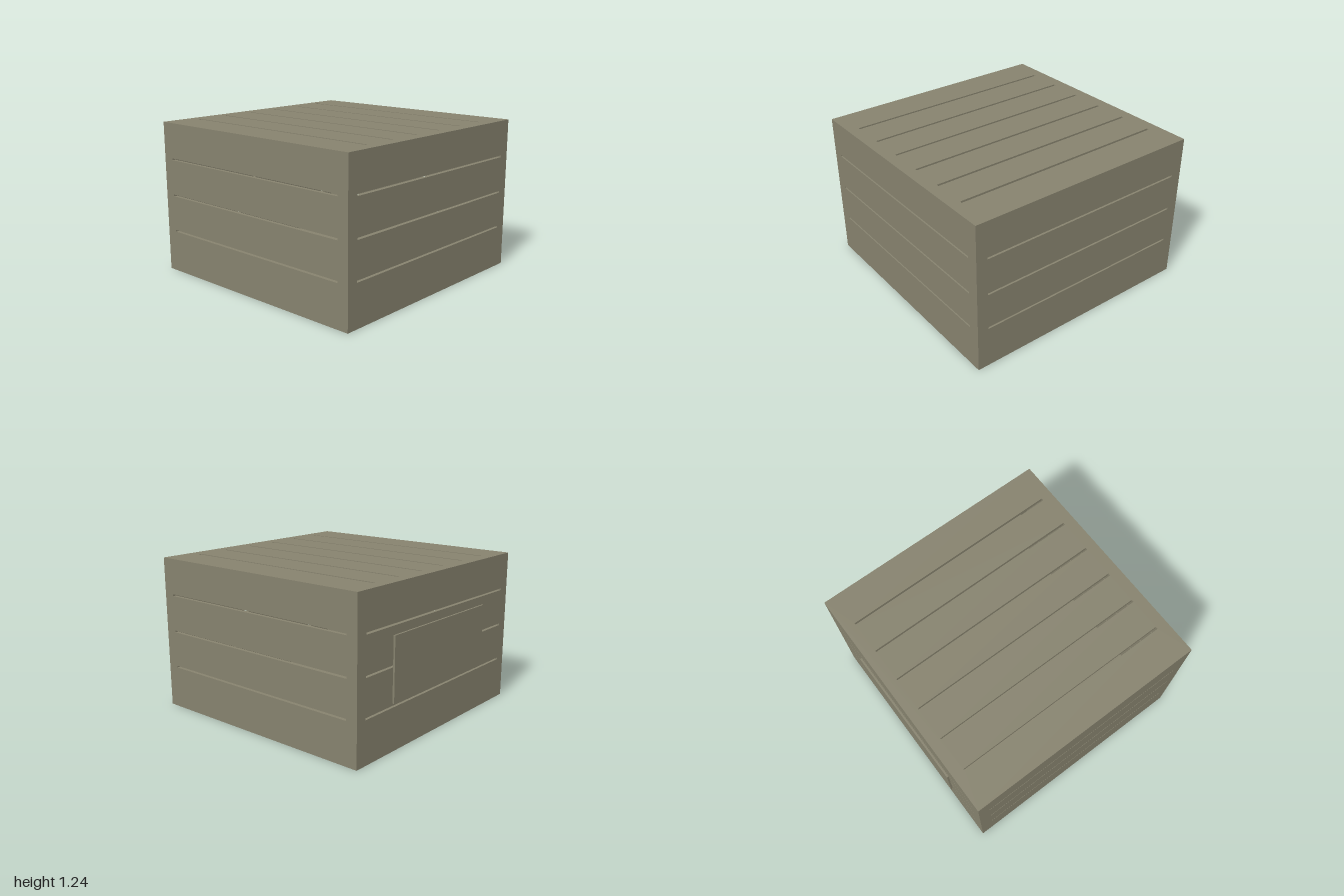
import * as THREE from 'three';

const W = 1.985, H = 1.24, T = 0.03; // crate width and depth, height, wall thickness
const SLOT = 1.8; // slot length

const olive = new THREE.MeshStandardMaterial({ color: 0x86826e });
olive.name = 'olive grey';

// Rectangle outline, centred on (cx, cy)
function rect(PathType, w, h, cx = 0, cy = 0) {
  const p = new PathType();
  p.moveTo(cx - w / 2, cy - h / 2);
  p.lineTo(cx + w / 2, cy - h / 2);
  p.lineTo(cx + w / 2, cy + h / 2);
  p.lineTo(cx - w / 2, cy + h / 2);
  p.closePath();
  return p;
}

// Panel with cut slots; its outer face lies on z = 0 and faces +z
function panel(w, h, slots) {
  const shape = rect(THREE.Shape, w, h);
  for (const [sw, sh, cx, cy] of slots) shape.holes.push(rect(THREE.Path, sw, sh, cx, cy));
  return new THREE.ExtrudeGeometry(shape, { depth: T, bevelEnabled: false }).translate(0, 0, -T);
}

export function createModel() {
  const model = new THREE.Group();
  model.name = 'slottedCrate';

  const body = new THREE.Group();
  body.name = 'body';
  body.position.z = 0.0075;
  model.add(body);

  const add = (name, geometry, parent = body) => {
    const mesh = new THREE.Mesh(geometry, olive);
    mesh.name = name;
    parent.add(mesh);
    return mesh;
  };

  // Four walls, each with three horizontal slots
  const wallSlots = [0.345, 0.645, 0.945].map((y) => [SLOT, 0.015, 0, y - H / 2]);
  ['frontWall', 'leftWall', 'backWall', 'rightWall'].forEach((name, i) => {
    const width = i % 2 ? W - 2 * T : W;
    const wall = add(name, panel(width, H - 2 * T, wallSlots).translate(0, 0, W / 2));
    wall.position.y = H / 2;
    wall.rotation.y = (i * Math.PI) / 2;
  });

  // Lid with six slots running front to back
  const lidSlots = [-0.7, -0.42, -0.14, 0.14, 0.42, 0.7].map((x) => [0.02, SLOT, x, 0]);
  const lid = add('lid', panel(W, W, lidSlots));
  lid.rotation.x = -Math.PI / 2;
  lid.position.y = H;

  // Solid floor
  add('floor', new THREE.BoxGeometry(W, T, W).translate(0, T / 2, 0));

  // Raised plate on the back
  add('backPlate', new THREE.BoxGeometry(1.19, 0.5, 0.015), model).position.set(0, 0.62, -0.9925);

  return model;
}
